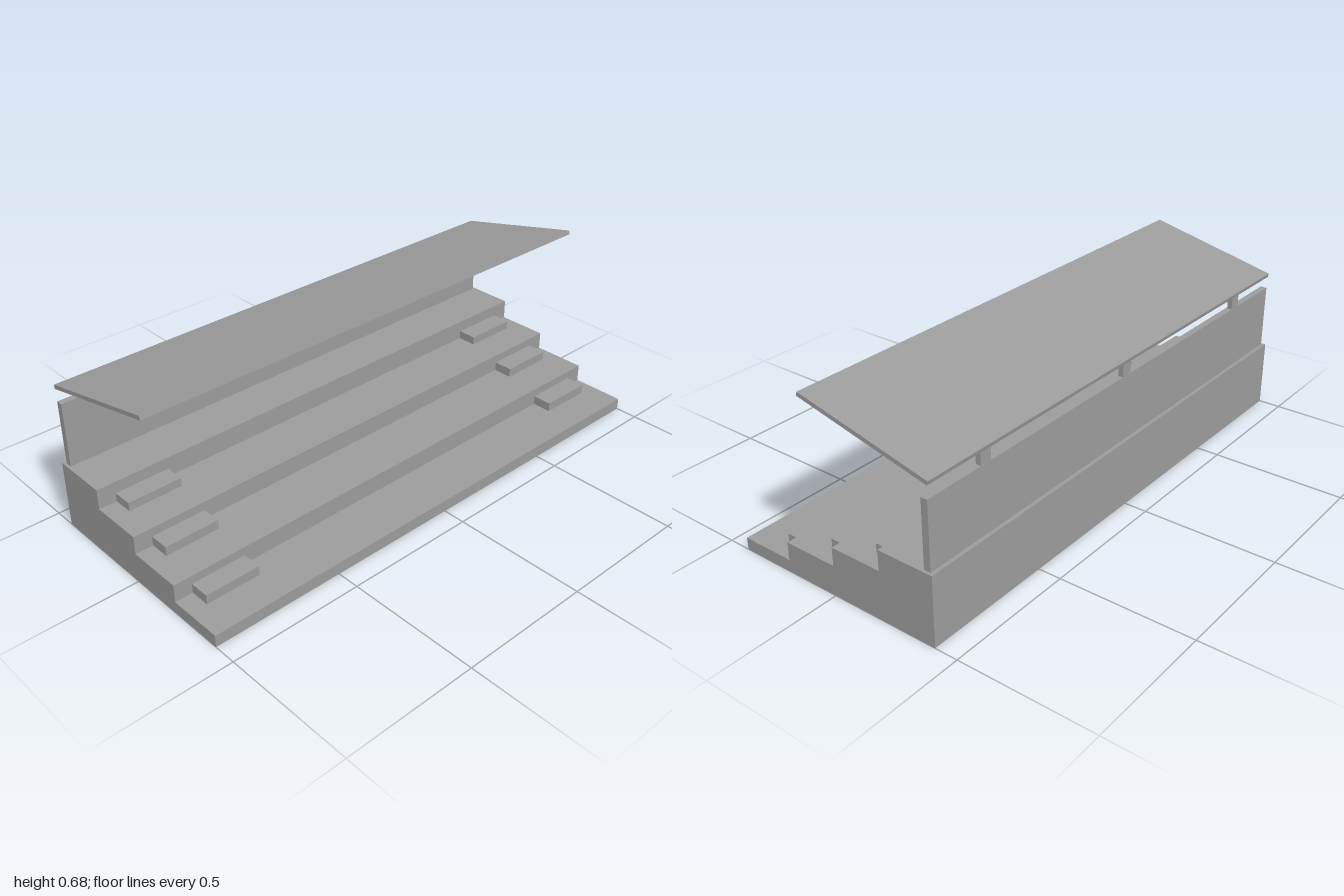
import * as THREE from 'three';

export function createModel() {
  const model = new THREE.Group();
  model.name = 'coveredGrandstand';
  const concrete = new THREE.MeshStandardMaterial({ color: 0x9c9c9c });
  concrete.name = 'concrete grey';

  // Box given by its min/max extents on each axis
  function addBox(name, [x0, x1], [y0, y1], [z0, z1]) {
    const mesh = new THREE.Mesh(new THREE.BoxGeometry(x1 - x0, y1 - y0, z1 - z0), concrete);
    mesh.position.set((x0 + x1) / 2, (y0 + y1) / 2, (z0 + z1) / 2);
    mesh.name = name;
    model.add(mesh);
    return mesh;
  }

  // Tiers: front edge z and top height y, from the lowest to the highest
  const back = -0.415;
  const tiers = [[0.415, 0.045], [0.209, 0.112], [0, 0.18], [-0.2, 0.256]];

  // Stepped terrace: side profile extruded across the width
  const profile = new THREE.Shape();
  profile.moveTo(-back, 0);
  let floor = 0;
  profile.moveTo(-tiers[0][0], 0);
  for (const [z, y] of tiers) {
    profile.lineTo(-z, floor);
    profile.lineTo(-z, y);
    floor = y;
  }
  profile.lineTo(-back, floor);
  profile.lineTo(-back, 0);
  const terraceGeometry = new THREE.ExtrudeGeometry(profile, { depth: 2, bevelEnabled: false });
  terraceGeometry.translate(0, 0, -1);
  terraceGeometry.rotateY(Math.PI / 2);
  const terrace = new THREE.Mesh(terraceGeometry, concrete);
  terrace.name = 'terrace';
  model.add(terrace);

  // Half-height aisle steps against each riser, on both sides
  const stepTops = [0.08, 0.147, 0.212];
  stepTops.forEach((top, i) => {
    const riser = tiers[i + 1][0];
    for (const side of [-1, 1]) {
      const x = side * 0.829;
      addBox('aisleStep', [x - 0.104, x + 0.104], [tiers[i][1], top], [riser, riser + 0.075]);
    }
  });

  // Rear wall and the posts that carry the roof
  addBox('rearWall', [-0.99, 0.99], [0.256, 0.5], [-0.401, -0.376]);
  for (const x of [-0.736, 0, 0.736]) {
    addBox('roofPost', [x - 0.023, x + 0.023], [0.5, 0.555], [-0.4, -0.381]);
  }

  // Sloping cantilever roof, higher at the front
  const roof = addBox('roof', [-0.99, 0.99], [0.6045, 0.6195], [-0.411, 0.112]);
  roof.rotation.x = -0.224;

  return model;
}
